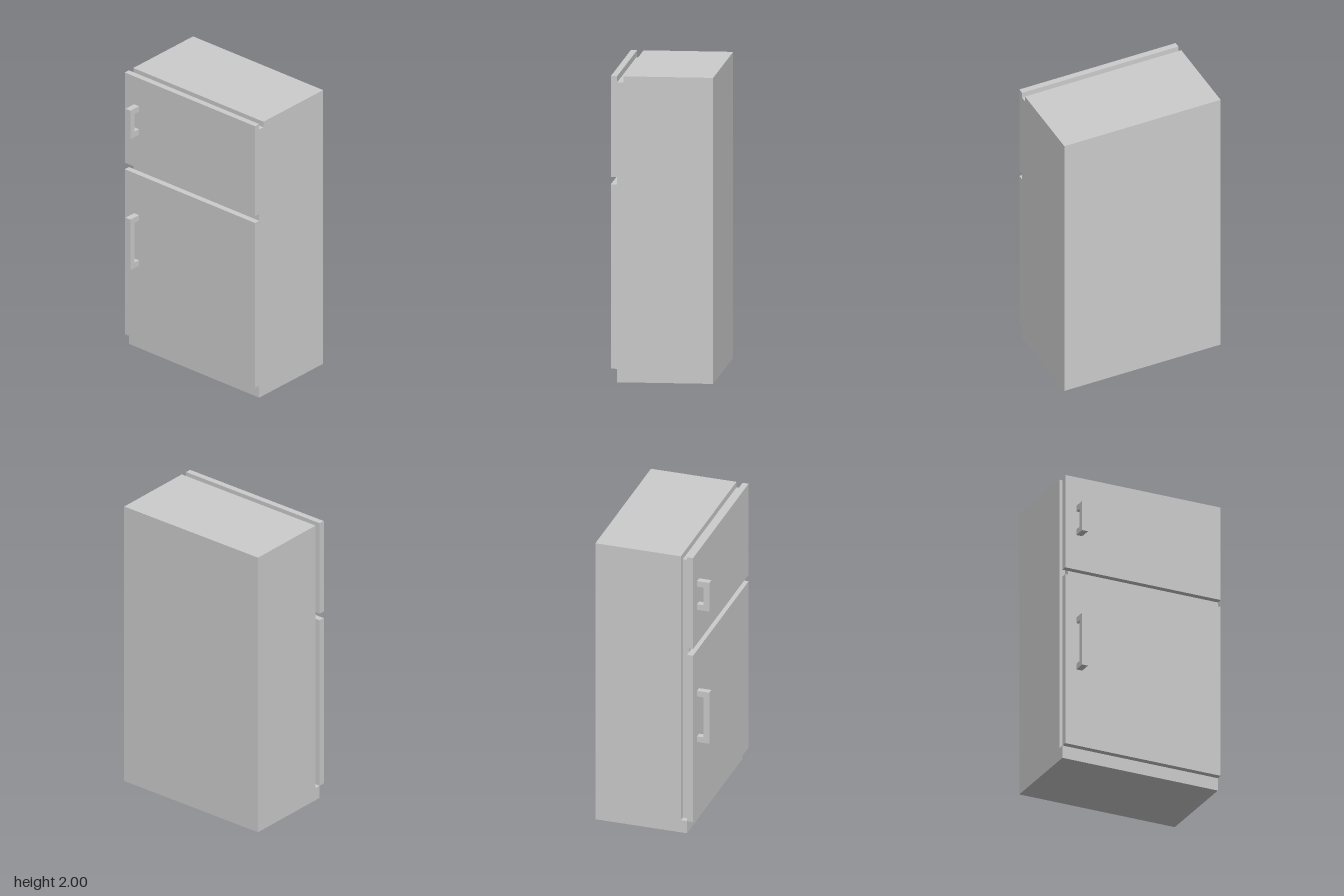
import * as THREE from 'three';

const HALF = 0.561; // half width
const BACK = -0.375, REAR_OF_GAP = 0.208, DOOR_BACK = 0.25, DOOR_FRONT = 0.291;
const PLINTH = 0.088, TOP = 2;

export function createModel() {
  const group = new THREE.Group();
  const material = new THREE.MeshStandardMaterial({ color: 0xcccccc, flatShading: true });

  const add = (name, geometry) => {
    const mesh = new THREE.Mesh(geometry, material);
    mesh.name = name;
    group.add(mesh);
  };

  // Box given by its limits on each axis
  const block = (name, [x0, x1], [y0, y1], [z0, z1]) => {
    const g = new THREE.BoxGeometry(x1 - x0, y1 - y0, z1 - z0);
    g.translate((x0 + x1) / 2, (y0 + y1) / 2, (z0 + z1) / 2);
    add(name, g);
  };

  const width = [-HALF, HALF];

  // Cabinet and plinth
  block('cabinet', width, [0, TOP], [BACK, REAR_OF_GAP]);
  block('plinth', width, [0, PLINTH], [REAR_OF_GAP, DOOR_BACK]);

  // Seal behind the doors, set in at the top and on the handle side
  block('doorSeal', [-0.52, HALF], [PLINTH, 1.96], [REAR_OF_GAP, DOOR_BACK]);

  // Doors
  block('fridgeDoor', width, [PLINTH, 1.293], [DOOR_BACK, DOOR_FRONT]);
  block('freezerDoor', width, [1.341, TOP], [DOOR_BACK, DOOR_FRONT]);

  // U-shaped handles, drawn from the side and extruded across x
  const handle = (name, y0, y1) => {
    const t = 0.04, out = 0.375, wide = 0.042;
    const shape = new THREE.Shape([
      [DOOR_FRONT, y0], [out, y0], [out, y1], [DOOR_FRONT, y1],
      [DOOR_FRONT, y1 - t], [out - t, y1 - t], [out - t, y0 + t], [DOOR_FRONT, y0 + t],
    ].map(([z, y]) => new THREE.Vector2(-z, y)));
    const g = new THREE.ExtrudeGeometry(shape, { depth: wide, bevelEnabled: false });
    g.rotateY(Math.PI / 2);
    g.translate(-0.481, 0, 0);
    add(name, g);
  };
  handle('fridgeHandle', 0.63, 1.0);
  handle('freezerHandle', 1.588, 1.796);

  return group;
}
